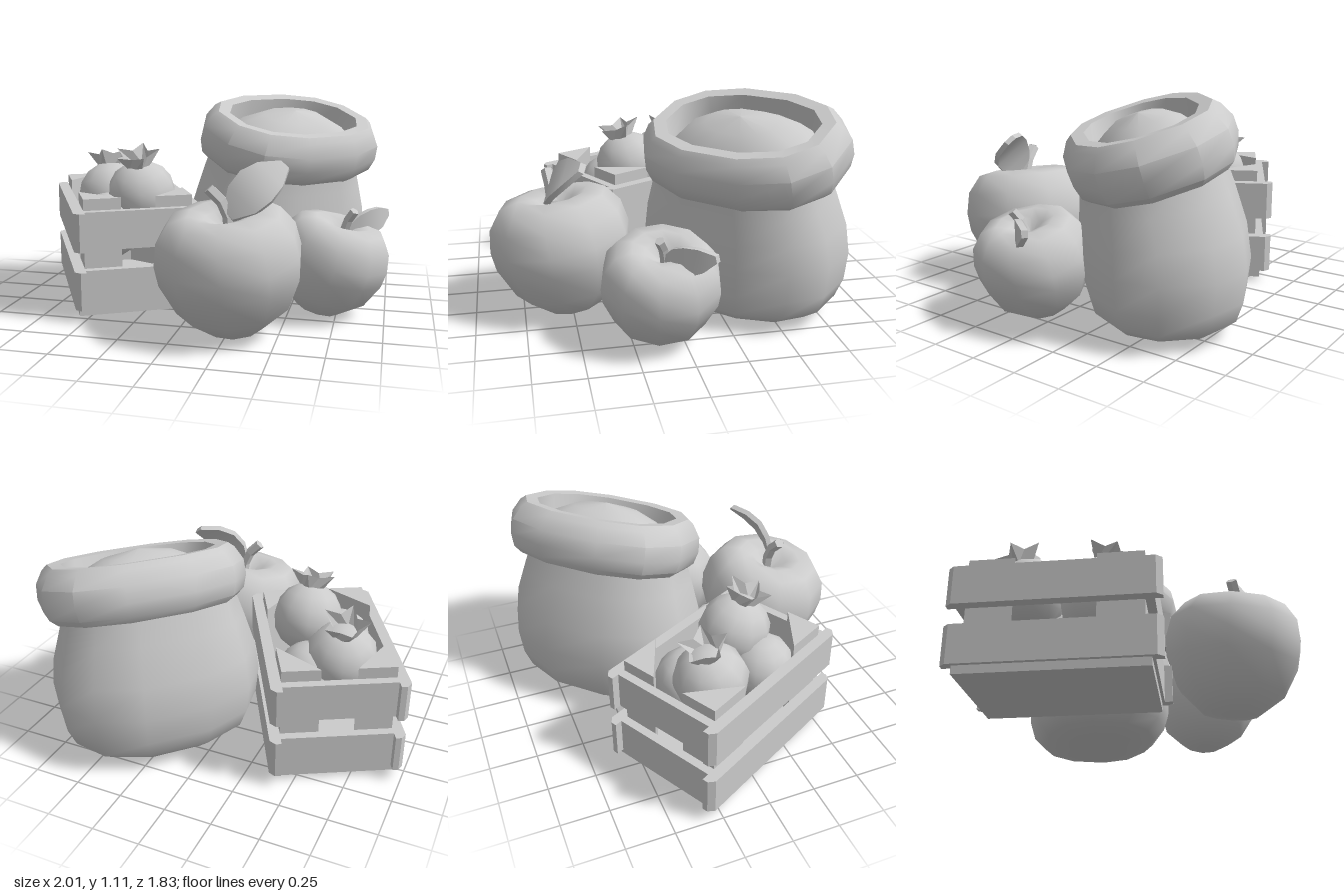
import * as THREE from 'three';
import { toCreasedNormals } from 'three/addons/utils/BufferGeometryUtils.js';

const material = new THREE.MeshStandardMaterial({ color: 0xcccccc });
const faceted = new THREE.MeshStandardMaterial({ color: 0xcccccc, flatShading: true, side: THREE.DoubleSide });

function add(parent, name, geometry, mat = material) {
  const mesh = new THREE.Mesh(geometry, mat);
  mesh.name = name;
  parent.add(mesh);
  return mesh;
}

function addGroup(parent, name, x, y, z) {
  const group = new THREE.Group();
  group.name = name;
  group.position.set(x, y, z);
  parent.add(group);
  return group;
}

// Skin over squarish oval rings: [half length, half width, height, forward shift, slope]
function loft(rings, sides = 12) {
  const positions = [], index = [];
  const soften = (v) => Math.sign(v) * Math.abs(v) ** 0.86;
  rings.forEach(([a, b, y, shift = 0, slope = 0], i) => {
    for (let j = 0; j < sides; j++) {
      const t = ((j + 0.5) / sides) * Math.PI * 2;
      const z = b * soften(Math.sin(t));
      positions.push(a * soften(Math.cos(t)), y - slope * z, z + shift);
      if (i === rings.length - 1) continue;
      const p = i * sides + j, q = i * sides + ((j + 1) % sides);
      index.push(p, p + sides, q, q, p + sides, q + sides);
    }
  });
  const geometry = new THREE.BufferGeometry();
  geometry.setAttribute('position', new THREE.Float32BufferAttribute(positions, 3));
  geometry.setIndex(index);
  geometry.computeVertexNormals();
  return geometry;
}

// Upright prism from a plan outline of [x, z] points
function prism(points, bottom, height) {
  const shape = new THREE.Shape(points.map(([x, z]) => new THREE.Vector2(x, -z)));
  const geometry = new THREE.ExtrudeGeometry(shape, { depth: height, bevelEnabled: false });
  return geometry.rotateX(-Math.PI / 2).translate(0, bottom, 0);
}

// Curved leaf slab from base to tip, spread along the width vector
function leaf(base, tip, across, bend) {
  const from = new THREE.Vector3(...base);
  const along = new THREE.Vector3(...tip).sub(from);
  const length = along.length();
  const side = new THREE.Vector3(...across);
  const width = side.length();
  const geometry = new THREE.BoxGeometry(length, 0.03, width, 4, 1, 1);
  const spread = [0.3, 0.88, 1, 0.8, 0.25];
  const p = geometry.attributes.position;
  for (let i = 0; i < p.count; i++) {
    const t = p.getX(i) / length + 0.5;
    p.setXYZ(i, t * length, p.getY(i) + bend * Math.sin(t * Math.PI), p.getZ(i) * spread[Math.round(t * 4)]);
  }
  const X = along.normalize();
  const Y = side.clone().cross(X).normalize();
  const Z = X.clone().cross(Y);
  geometry.applyMatrix4(new THREE.Matrix4().makeBasis(X, Y, Z).setPosition(from));
  return toCreasedNormals(geometry, 0.6);
}

function stem(points, radius) {
  const curve = new THREE.CatmullRomCurve3(points.map((p) => new THREE.Vector3(...p)));
  const group = new THREE.Group();
  group.name = 'stem';
  add(group, 'stalk', new THREE.TubeGeometry(curve, 3, radius, 5), faceted);
  const end = add(group, 'stalkEnd', new THREE.CircleGeometry(radius, 5), faceted);
  end.position.copy(curve.getPoint(1));
  end.lookAt(end.position.clone().add(curve.getTangent(1)));
  return group;
}

function crate(parent) {
  const group = addGroup(parent, 'crate', -0.465, 0, -0.025);
  group.rotation.y = 0.49;
  add(group, 'crateFloor', new THREE.BoxGeometry(0.64, 0.045, 0.92)).position.y = 0.05;
  for (const s of [-1, 1]) {
    for (const y of [0.07, 0.375]) {
      // Long planks have chamfered outer ends
      const outline = [[0.285, -0.515], [0.315, -0.515], [0.342, -0.485], [0.342, 0.485], [0.315, 0.515], [0.285, 0.515]];
      const side = add(group, 'sidePlank', prism(outline, y, 0.2));
      if (s < 0) side.rotation.y = Math.PI;
      const end = add(group, 'endPlank', new THREE.BoxGeometry(0.58, 0.2, 0.045));
      end.position.set(0, y + 0.1, s * 0.452);
    }
    // Triangular corner posts
    for (const e of [-1, 1]) {
      const post = [[s * 0.285, e * 0.43], [s * 0.285, e * 0.2], [s * 0.09, e * 0.43]];
      add(group, 'cornerPost', prism(post, 0.07, 0.565));
    }
  }
}

function roundFruit(parent, x, y, z, radius = 0.18) {
  const group = addGroup(parent, 'roundFruit', x, y, z);
  add(group, 'fruitBody', new THREE.SphereGeometry(radius, 10, 8));
  return group;
}

function crownedFruit(parent, x, y, z, tiltX, tiltZ, turn) {
  const group = roundFruit(parent, x, y, z, 0.192);
  group.rotation.set(tiltX, turn, tiltZ);
  // Hollow crown with five broad points folded outward
  const crown = new THREE.CylinderGeometry(0.1, 0.062, 0.08, 10, 1, true);
  const p = crown.attributes.position;
  for (let i = 0; i < p.count; i++) {
    if (p.getY(i) < 0) continue;
    const k = Math.round((Math.atan2(p.getX(i), p.getZ(i)) / Math.PI) * 5);
    const isPoint = Math.abs(k) % 2 === 0;
    const r = isPoint ? 1.27 : 0.74;
    p.setXYZ(i, p.getX(i) * r, isPoint ? 0.05 : 0.03, p.getZ(i) * r);
  }
  add(group, 'crown', crown, faceted).position.y = 0.205;
}

function sack(parent) {
  const group = addGroup(parent, 'sack', 0.345, 0, -0.41);
  group.rotation.y = Math.PI / 4;
  add(group, 'sackBody', loft([
    [0.001, 0.001, 0.02], [0.3, 0.2, 0.02], [0.42, 0.31, 0.045], [0.5, 0.37, 0.1], [0.54, 0.4, 0.2],
    [0.555, 0.415, 0.35], [0.535, 0.4, 0.5, 0.01, 0.06], [0.485, 0.365, 0.66, 0.04, 0.18],
    [0.445, 0.335, 0.78, 0.065, 0.28], [0.435, 0.325, 0.87, 0.08, 0.3],
  ]));
  // Rolled rim leaning forward, with the filling inside it
  const rim = addGroup(group, 'sackTop', 0.03, 0.88, 0.08);
  rim.rotation.x = 0.3;
  const A = 0.54, B = 0.415;
  const profile = [[0.11, -0.09], [0.06, -0.135], [0.02, -0.1], [0, -0.03], [0.005, 0.05], [0.045, 0.12],
    [0.075, 0.145], [0.14, 0.14], [0.155, 0.0]];
  add(rim, 'rolledRim', toCreasedNormals(loft(profile.map(([d, y]) => [A - d, B - d, y])), 0.7));
  add(rim, 'filling', loft([[0.4, 0.28, 0.01], [0.32, 0.22, 0.08], [0.19, 0.13, 0.14], [0.001, 0.001, 0.17]]));
}

function apple(parent, name, x, y, z, size, tiltX, tiltZ) {
  const group = addGroup(parent, name, x, y, z);
  group.rotation.set(tiltX, 0.1, tiltZ);
  const profile = [[0, -0.9], [0.4, -0.86], [0.8, -0.52], [0.99, -0.08], [1.02, 0.2],
    [0.96, 0.52], [0.77, 0.77], [0.5, 0.83], [0.28, 0.75], [0.1, 0.6], [0, 0.57]];
  const points = profile.map(([r, h]) => new THREE.Vector2(r * size, h * size));
  add(group, 'appleBody', new THREE.LatheGeometry(points, 10));
}

export function createModel() {
  const model = new THREE.Group();
  model.name = 'harvestStill';
  crate(model);
  sack(model);

  // Fruit in the crate: two crowned ones on top, two plain ones below
  crownedFruit(model, -0.6, 0.545, -0.155, -0.22, 0.1, 0);
  crownedFruit(model, -0.33, 0.6, 0.09, 0.25, 0.03, Math.PI / 5);
  roundFruit(model, -0.455, 0.44, -0.215);
  roundFruit(model, -0.485, 0.44, 0.18);

  // Large apple in front
  apple(model, 'largeApple', 0.26, 0.335, 0.535, 0.36, 0.15, 0.07);
  model.add(stem([[0.27, 0.52, 0.58], [0.25, 0.65, 0.585], [0.17, 0.74, 0.6]], 0.03));
  add(model, 'largeLeaf', leaf([0.265, 0.61, 0.6], [0.51, 0.84, 0.45], [0.17, -0.12, 0.06], 0.05));

  // Small apple at the side
  apple(model, 'smallApple', 0.71, 0.275, 0.11, 0.29, 0.05, -0.25);
  model.add(stem([[0.77, 0.4, 0.1], [0.79, 0.5, 0.11], [0.83, 0.57, 0.14]], 0.024));
  add(model, 'smallLeaf', leaf([0.79, 0.46, 0.1], [0.99, 0.53, -0.09], [0.03, -0.13, -0.03], 0.03));
  return model;
}
